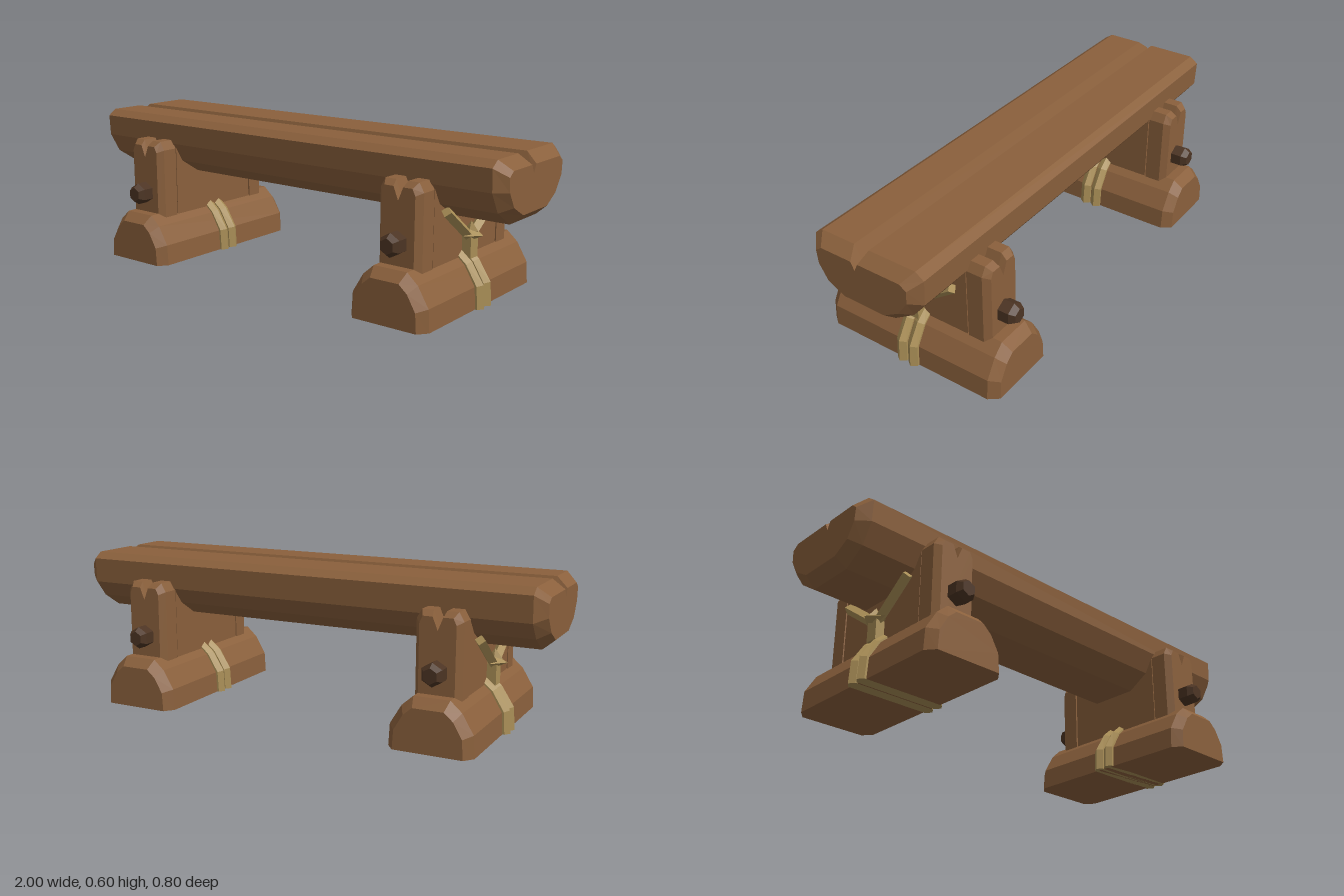
import * as THREE from 'three';

const wood = new THREE.MeshStandardMaterial({ color: 0x8a603c });
wood.name = 'wood';
const rope = new THREE.MeshStandardMaterial({ color: 0xa98e56 });
rope.name = 'rope';
const darkWood = new THREE.MeshStandardMaterial({ color: 0x4c3423 });
darkWood.name = 'dark wood';

// Faceted solid through matching 2D profiles; each station is [position, profile].
// Along 'z' a profile holds (x, y); along 'x' it holds (z, y).
function loft(axis, stations) {
  const rings = stations.map(([w, profile]) => profile.map(([a, b]) =>
    axis === 'z' ? new THREE.Vector3(a, b, w) : new THREE.Vector3(w, b, a)));
  const n = rings[0].length;
  let tris = [];
  for (let s = 0; s < rings.length - 1; s++) {
    const p = rings[s], q = rings[s + 1];
    for (let i = 0; i < n; i++) {
      const j = (i + 1) % n;
      tris.push([p[i], p[j], q[j]], [p[i], q[j], q[i]]);
    }
  }
  // End caps, wound against the neighbouring walls
  const contour = (k) => stations[k][1].map(([a, b]) => new THREE.Vector2(a, b));
  const cap = (k, flip) => {
    const c = contour(k);
    const ccw = THREE.ShapeUtils.area(c) > 0;
    for (const f of THREE.ShapeUtils.triangulateShape(c, [])) {
      let [a, b, d] = f;
      const ab = (c[b].x - c[a].x) * (c[d].y - c[a].y) - (c[b].y - c[a].y) * (c[d].x - c[a].x);
      if ((ab > 0) !== ccw) [b, d] = [d, b];
      const t = [rings[k][a], rings[k][b], rings[k][d]];
      tris.push(flip ? t.reverse() : t);
    }
  };
  cap(0, true);
  cap(rings.length - 1, false);
  // Turn the solid right side out
  const volume = tris.reduce((v, [a, b, c]) => v + a.dot(b.clone().cross(c)), 0);
  if (volume < 0) tris = tris.map(([a, b, c]) => [a, c, b]);
  const geo = new THREE.BufferGeometry().setFromPoints(tris.flat());
  geo.computeVertexNormals();
  return geo;
}

function facet(geo) {
  const g = geo.index ? geo.toNonIndexed() : geo;
  g.computeVertexNormals();
  return g;
}

function add(parent, name, geo, material, x = 0, y = 0, z = 0) {
  const mesh = new THREE.Mesh(geo, material);
  mesh.name = name;
  mesh.position.set(x, y, z);
  parent.add(mesh);
  return mesh;
}

const mirrored = (half) => [...half, ...half.map(([a, b]) => [-a, b]).reverse()];

// Half-log seat with a split along its top
function makeSeat(parent) {
  const body = [[0.06, 0.6], [0.205, 0.6], [0.24, 0.575], [0.235, 0.49], [0.19, 0.412], [0.1, 0.356],
    [-0.1, 0.356], [-0.185, 0.41], [-0.236, 0.475], [-0.24, 0.575], [-0.205, 0.6], [-0.005, 0.6], [0.025, 0.53]];
  const end = [[0.04, 0.562], [0.175, 0.562], [0.2, 0.543], [0.195, 0.49], [0.16, 0.432], [0.09, 0.394],
    [-0.09, 0.394], [-0.155, 0.432], [-0.197, 0.492], [-0.2, 0.543], [-0.172, 0.562], [0.01, 0.562], [0.025, 0.53]];
  add(parent, 'seat', loft('x', [[-1, end], [-0.955, body], [0.955, body], [1, end]]), wood);
}

// One support, with its lashing on the +x side
function makeSupport() {
  const g = new THREE.Group();
  g.name = 'support';

  // Foot log
  const foot = mirrored([[0.165, 0], [0.16, 0.085], [0.115, 0.16], [0.07, 0.2]]);
  const footEnd = mirrored([[0.135, 0], [0.13, 0.075], [0.095, 0.135], [0.06, 0.165]]);
  add(g, 'foot', loft('z', [[-0.4, footEnd], [-0.362, foot], [0.362, foot], [0.4, footEnd]]), wood);

  // Upright web under the seat
  add(g, 'web', facet(new THREE.BoxGeometry(0.176, 0.32, 0.45)), wood, 0, 0.31, 0);

  // Notched posts with pegs, front and back
  const post = [[0.09, 0.15], [0.09, 0.47], [0.07, 0.505], [0.025, 0.505], [0, 0.44],
    [-0.025, 0.505], [-0.07, 0.505], [-0.09, 0.47], [-0.09, 0.15]];
  const postFace = [[0.07, 0.15], [0.07, 0.46], [0.058, 0.485], [0.02, 0.485], [0, 0.435],
    [-0.02, 0.485], [-0.058, 0.485], [-0.07, 0.46], [-0.07, 0.15]];
  const hexagon = (r) => Array.from({ length: 6 }, (_, i) => {
    const a = Math.PI / 2 + i * Math.PI / 3;
    return [r * Math.cos(a), 0.285 + r * Math.sin(a)];
  });
  for (const s of [1, -1]) {
    add(g, 'post', loft('z', [[s * 0.23, post], [s * 0.297, post], [s * 0.322, postFace]]), wood);
    add(g, 'peg', loft('z', [[s * 0.22, hexagon(0.045)], [s * 0.367, hexagon(0.045)], [s * 0.39, hexagon(0.03)]]), darkWood);
  }

  // Two ridged rope bands over the foot
  const scaled = (kx, ky) => foot.map(([x, y]) => [x * kx, y * ky]);
  for (const z of [0.026, -0.026]) {
    add(g, 'rope band', loft('z', [[z - 0.023, scaled(1.05, 1.02)], [z, scaled(1.15, 1.07)], [z + 0.023, scaled(1.05, 1.02)]]), rope);
  }

  // Upright rope, knot and the two slanting ropes
  add(g, 'upright rope', facet(new THREE.BoxGeometry(0.05, 0.08, 0.052)), rope, 0.1, 0.22, 0);
  add(g, 'knot', facet(new THREE.OctahedronGeometry(1)), rope, 0.11, 0.268, 0).scale.set(0.05, 0.025, 0.055);
  add(g, 'knot tip', facet(new THREE.OctahedronGeometry(1)), rope, 0.11, 0.28, 0).scale.set(0.03, 0.038, 0.016);
  for (const s of [1, -1]) {
    const from = new THREE.Vector3(0.105, 0.255, 0), to = new THREE.Vector3(0.11, 0.385, s * 0.18);
    const dir = to.clone().sub(from);
    const strand = add(g, 'slanting rope', facet(new THREE.CylinderGeometry(0.021, 0.021, dir.length(), 4)), rope);
    strand.position.copy(from).addScaledVector(dir, 0.5);
    strand.quaternion.setFromUnitVectors(new THREE.Vector3(0, 1, 0), dir.normalize());
  }
  return g;
}

export function createModel() {
  const model = new THREE.Group();
  model.name = 'log bench';
  makeSeat(model);
  for (const s of [1, -1]) {
    const support = makeSupport();
    support.position.x = s * 0.64;
    if (s < 0) support.rotation.y = Math.PI;
    model.add(support);
  }
  return model;
}
